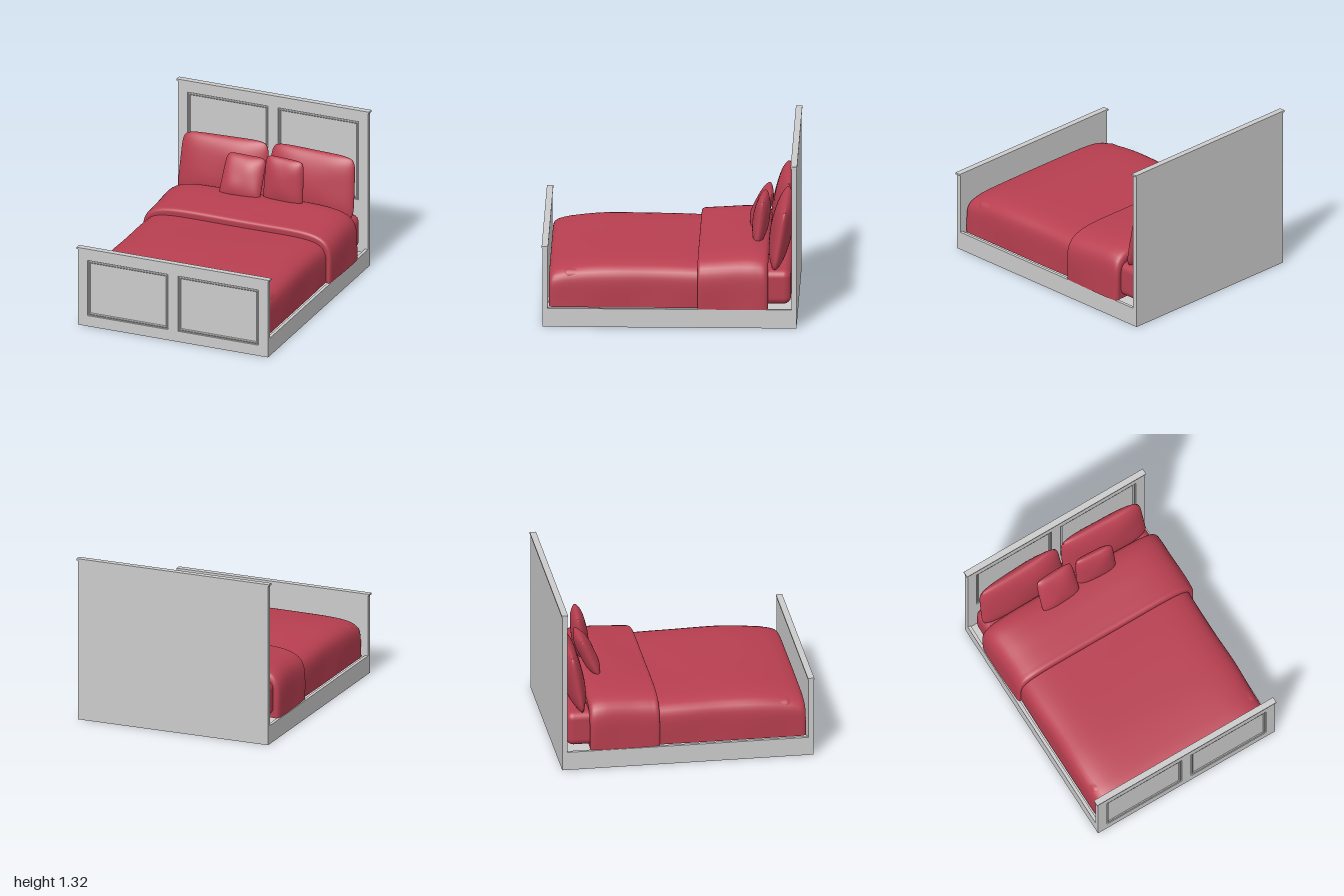
import * as THREE from 'three';
import { mergeVertices } from 'three/addons/utils/BufferGeometryUtils.js';
import { RoundedBoxGeometry } from 'three/addons/geometries/RoundedBoxGeometry.js';

const grey = new THREE.MeshStandardMaterial({ color: 0xcccccc });
const red = new THREE.MeshStandardMaterial({ color: 0xb83f50, side: THREE.DoubleSide });

function add(parent, name, geometry, material, x = 0, y = 0, z = 0) {
  const mesh = new THREE.Mesh(geometry, material);
  mesh.name = name;
  mesh.position.set(x, y, z);
  parent.add(mesh);
  return mesh;
}

const box = (w, h, d) => new THREE.BoxGeometry(w, h, d);

// Rectangle outline, usable as a shape or as a hole
function rect(Type, x0, y0, x1, y1) {
  const p = new Type();
  p.moveTo(x0, y0);
  p.lineTo(x1, y0);
  p.lineTo(x1, y1);
  p.lineTo(x0, y1);
  p.closePath();
  return p;
}

// End board: back slab, front frame with two openings, mouldings and a cap
function endBoard(name, height, panelBottom, panelTop, backZ) {
  const g = new THREE.Group();
  g.name = name;
  const half = 0.812, recess = 0.012, slab = 0.028;
  add(g, 'boardSlab', box(half * 2, height, slab), grey, 0, height / 2, slab / 2);

  const face = rect(THREE.Shape, -half, 0, half, height);
  const panels = [[-0.732, -0.041], [0.041, 0.732]];
  for (const [x0, x1] of panels) {
    face.holes.push(rect(THREE.Path, x0, panelBottom, x1, panelTop));
    // Raised bevelled moulding just inside the opening
    const a = 0.012, b = 0.017;
    const ring = rect(THREE.Shape, x0 + a, panelBottom + a, x1 - a, panelTop - a);
    ring.holes.push(rect(THREE.Path, x0 + b, panelBottom + b, x1 - b, panelTop - b));
    add(g, 'panelMoulding', new THREE.ExtrudeGeometry(ring, {
      depth: 0.002, bevelEnabled: true, bevelThickness: 0.007, bevelSize: 0.006, bevelSegments: 1,
    }), grey, 0, 0, slab);
  }
  add(g, 'boardFrame', new THREE.ExtrudeGeometry(face, { depth: recess, bevelEnabled: false }), grey, 0, 0, slab);
  add(g, 'boardCap', box(1.645, 0.014, 0.05), grey, 0, height + 0.007, 0.02);
  g.position.z = backZ;
  return g;
}

// Cloth draped over the bed: arched sections along z, from [z, halfWidth, top] stations
function drape(stations, base, power, wave) {
  const curve = new THREE.CatmullRomCurve3(stations.map((s) => new THREE.Vector3(...s)));
  const rings = 72, steps = 64, pos = [], index = [];
  for (let i = 0; i <= rings; i++) {
    const s = curve.getPoint(i / rings);
    for (let j = 0; j <= steps; j++) {
      const t = (j / steps) * Math.PI, c = Math.cos(t), n = Math.sin(t);
      const r = 1 / Math.pow(Math.abs(c) ** power + Math.abs(n) ** power, 1 / power);
      const x = s.y * r * c, rise = r * n;
      const ripple = wave * Math.sin(s.x * 9 + x * 5) * Math.sin(rise * Math.PI * 0.8);
      pos.push(x + ripple * c, base + (s.z - base) * rise + ripple * n * 0.5, s.x);
    }
  }
  const m = steps + 1;
  for (let i = 0; i < rings; i++) {
    for (let j = 0; j < steps; j++) {
      const a = i * m + j;
      index.push(a, a + 1, a + m, a + 1, a + m + 1, a + m);
    }
  }
  const g = new THREE.BufferGeometry();
  g.setAttribute('position', new THREE.Float32BufferAttribute(pos, 3));
  g.setIndex(index);
  g.computeVertexNormals();
  return g;
}

// Stuffed pillow: a box grid, swollen in the middle, with thin seams and soft corners
function pillow(w, h, d, sag, seed) {
  let g = new THREE.BoxGeometry(2, 2, 2, 32, 28, 1);
  g.deleteAttribute('normal');
  g.deleteAttribute('uv');
  g = mergeVertices(g);
  const p = g.attributes.position;
  for (let i = 0; i < p.count; i++) {
    const u = Math.sin(p.getX(i) * Math.PI / 2), v = Math.sin(p.getY(i) * Math.PI / 2);
    const swell = (q) => Math.pow(Math.max(0, 1 - Math.abs(q) ** 2.6), 0.55);
    const crease = 1 + 0.06 * Math.sin(u * 4 + seed) * Math.sin(v * 3 + seed);
    const thick = 0.04 + 0.96 * swell(u) * swell(v) * crease;
    const x = u * (1 - 0.07 * Math.abs(v) ** 8 - 0.025 * v);
    const y = v * (1 - 0.08 * Math.abs(u) ** 8) + sag * u * (0.5 + 0.5 * v);
    p.setXYZ(i, x * w / 2, y * h / 2, p.getZ(i) * thick * d / 2);
  }
  g.computeVertexNormals();
  return g;
}

export function createModel() {
  const bed = new THREE.Group();
  bed.name = 'bed';

  // Frame
  const frame = new THREE.Group();
  frame.name = 'bedFrame';
  frame.add(endBoard('headboard', 1.31, 0.56, 1.225, -1.0 + 0.005));
  frame.add(endBoard('footboard', 0.645, 0.09, 0.56, 0.955));
  for (const side of [-1, 1]) {
    add(frame, 'sideRail', box(0.026, 0.15, 1.94), grey, side * 0.799, 0.075, -0.003);
  }
  add(frame, 'baseBoard', box(1.58, 0.1, 1.93), grey, 0, 0.07, -0.003);
  frame.position.x = -0.003;
  bed.add(frame);

  // Mattress
  add(bed, 'mattress', new RoundedBoxGeometry(1.51, 0.28, 1.8, 5, 0.06), red, -0.003, 0.31, -0.05);

  // Duvet, running under its folded end
  add(bed, 'duvet', drape([
    [-0.74, 0.76, 0.47], [-0.4, 0.775, 0.49], [-0.2, 0.772, 0.498], [0.1, 0.775, 0.508],
    [0.3, 0.775, 0.51], [0.55, 0.775, 0.505], [0.75, 0.775, 0.487], [0.86, 0.775, 0.468],
    [0.92, 0.77, 0.445], [0.942, 0.755, 0.42], [0.945, 0.72, 0.39], [0.945, 0.4, 0.27], [0.945, 0.001, 0.151],
  ], 0.15, 7, 0.005), red, -0.003);

  // Folded-back end of the duvet
  add(bed, 'duvetFold', drape([
    [-0.765, 0.001, 0.151], [-0.765, 0.4, 0.3], [-0.767, 0.75, 0.5], [-0.77, 0.785, 0.53],
    [-0.75, 0.805, 0.558], [-0.68, 0.813, 0.578], [-0.55, 0.813, 0.582], [-0.4, 0.81, 0.572],
    [-0.28, 0.806, 0.562], [-0.235, 0.803, 0.556], [-0.22, 0.795, 0.54], [-0.22, 0.78, 0.51], [-0.225, 0.75, 0.47],
  ], 0.15, 6, 0.007), red, 0.004);

  // Pillows: name, size, sag, position, tilt, turn, roll
  const pillows = [
    ['rightPillow', 0.74, 0.51, 0.165, 0.03, -0.382, 0.68, -0.868, -0.17, 0.02, 0],
    ['leftPillow', 0.73, 0.52, 0.165, -0.03, 0.368, 0.685, -0.868, -0.17, -0.02, 0],
    ['rightCushion', 0.335, 0.35, 0.12, 0.01, -0.147, 0.705, -0.70, -0.42, 0.05, -0.03],
    ['leftCushion', 0.335, 0.385, 0.125, -0.02, 0.2, 0.72, -0.705, -0.13, -0.06, 0],
  ];
  pillows.forEach(([name, w, h, d, sag, x, y, z, tilt, turn, roll], i) => {
    add(bed, name, pillow(w, h, d, sag, i * 1.7), red, x, y, z).rotation.set(tilt, turn, roll);
  });

  return bed;
}
